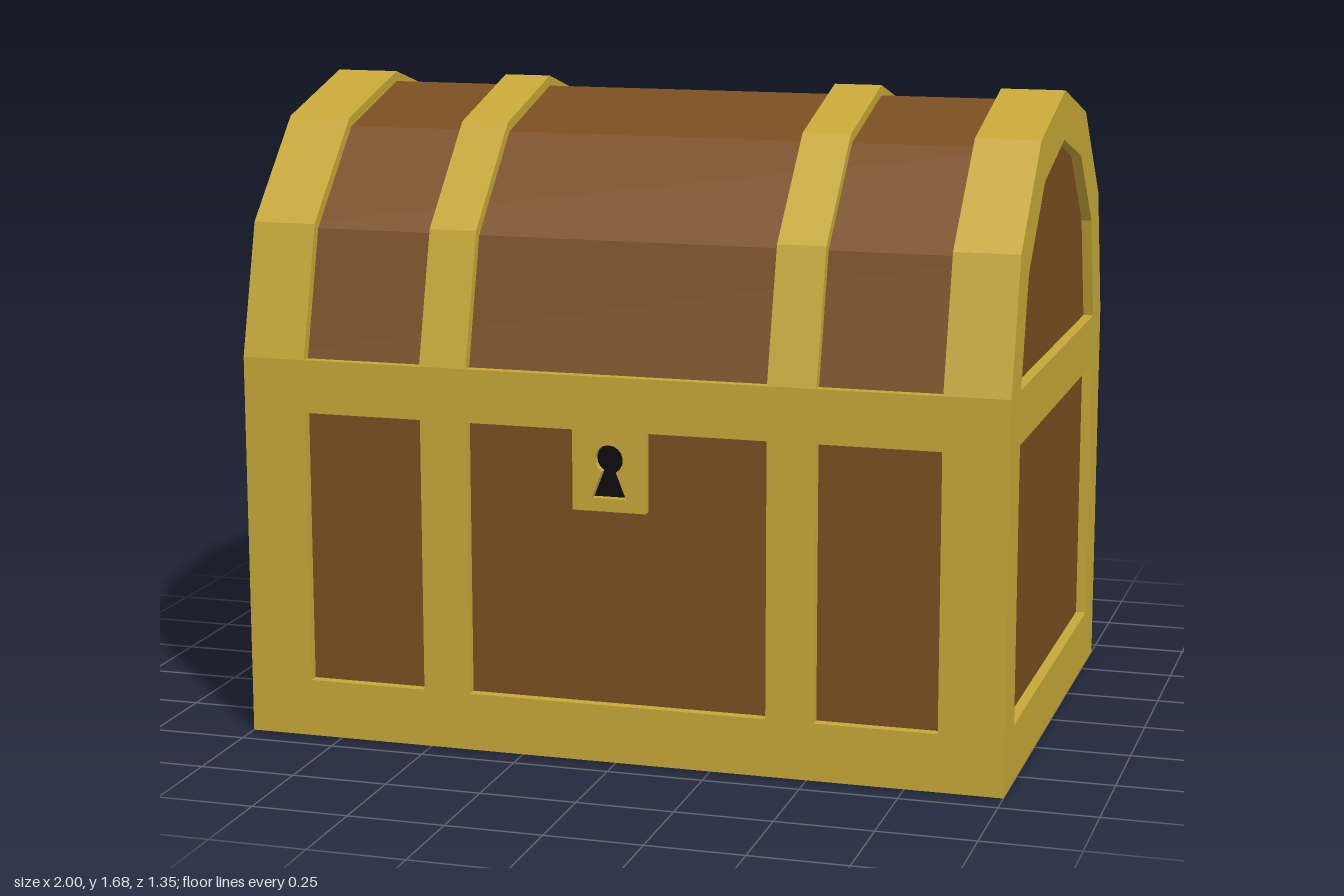
import * as THREE from 'three';

const mat = (color) => new THREE.MeshStandardMaterial({ color, flatShading: true });
const W = 1, R = 0.677, CORE = 0.65, INNER = 0.55, T = R - CORE;
const LID_Y = 1, PANEL_LOW = 0.15, PANEL_HIGH = 0.862;
const PANELS_X = [[-0.833, -0.518], [-0.393, 0.393], [0.518, 0.833]];

const poly = (pts) => pts.map(([x, y]) => new THREE.Vector2(x, y));
const rect = (x0, x1, y0, y1) => poly([[x0, y0], [x1, y0], [x1, y1], [x0, y1]]);

// Six-sided half circle, from +radius round to -radius
function arch(radius) {
  const pts = [];
  for (let i = 0; i <= 6; i++) {
    const a = (i * Math.PI) / 6;
    pts.push(new THREE.Vector2(radius * Math.cos(a), LID_Y + radius * Math.sin(a)));
  }
  return pts;
}

function extrude(outline, holes, depth) {
  const shape = new THREE.Shape(outline);
  shape.holes = holes.map((h) => new THREE.Path(h));
  return new THREE.ExtrudeGeometry(shape, { depth, bevelEnabled: false, curveSegments: 12 });
}

// Profile in the z-y plane, extruded from x0 to x1
const alongX = (outline, holes, x0, x1) =>
  extrude(outline, holes, x1 - x0).rotateY(Math.PI / 2).translate(x0, 0, 0);

const archBand = (inner, x0, x1) =>
  alongX([...arch(R), ...arch(inner).reverse()], [], x0, x1);

export function createModel() {
  const group = new THREE.Group();
  const wood = mat(0x7a4d20), gold = mat(0xc6a737), black = mat(0x0c0c0c);
  const add = (name, geometry, material) => {
    const mesh = new THREE.Mesh(geometry, material);
    mesh.name = name;
    group.add(mesh);
    return mesh;
  };

  // Wooden box and lid
  add('woodenBox', alongX(rect(-CORE, CORE, T, LID_Y), [], -W + T, W - T), wood);
  add('woodenLid', alongX(arch(CORE), [], -W + T, W - T), wood);

  // Front and back frames with three openings
  const windows = PANELS_X.map(([a, b]) => rect(a, b, PANEL_LOW, PANEL_HIGH));
  const frame = extrude(rect(-W, W, 0, LID_Y), windows, T);
  add('frontFrame', frame, gold).position.z = CORE;
  add('backFrame', frame, gold).position.z = -R;

  // Bottom frame
  const floorHoles = PANELS_X.map(([a, b]) => rect(a, b, -INNER, INNER));
  add('bottomFrame', extrude(rect(-W, W, -CORE, CORE), floorHoles, T).rotateX(-Math.PI / 2), gold);

  // End frames and the arched rims of the lid
  const endHole = rect(-INNER, INNER, PANEL_LOW, PANEL_HIGH);
  for (const [side, x] of [['left', W - T], ['right', -W]]) {
    add(side + 'EndFrame', alongX(rect(-CORE, CORE, 0, LID_Y), [endHole], x, x + T), gold);
    add(side + 'LidRim', archBand(INNER, x, x + T), gold);
  }

  // Straps over the lid
  const straps = [[-W + T, -0.833], [-0.518, -0.393], [0.393, 0.518], [0.833, W - T]];
  for (const [a, b] of straps) add('lidStrap', archBand(CORE - 0.01, a, b), gold);

  // Lock plate with a keyhole cut through to a dark backing
  const cx = -0.015, cy = 0.79, r = 0.037;
  const keyhole = [[cx - 0.045, 0.69], [cx + 0.045, 0.69]];
  for (let i = 0; i <= 14; i++) {
    const a = -Math.PI / 3 + (i / 14) * (Math.PI * 5) / 3;
    keyhole.push([cx + r * Math.cos(a), cy + r * Math.sin(a)]);
  }
  const lock = extrude(rect(cx - 0.096, cx + 0.096, 0.656, PANEL_HIGH), [poly(keyhole)], T);
  add('lockPlate', lock, gold).position.z = CORE;
  const backing = new THREE.BoxGeometry(0.12, 0.16, 0.01);
  add('keyhole', backing, black).position.set(cx, 0.76, CORE);

  return group;
}
